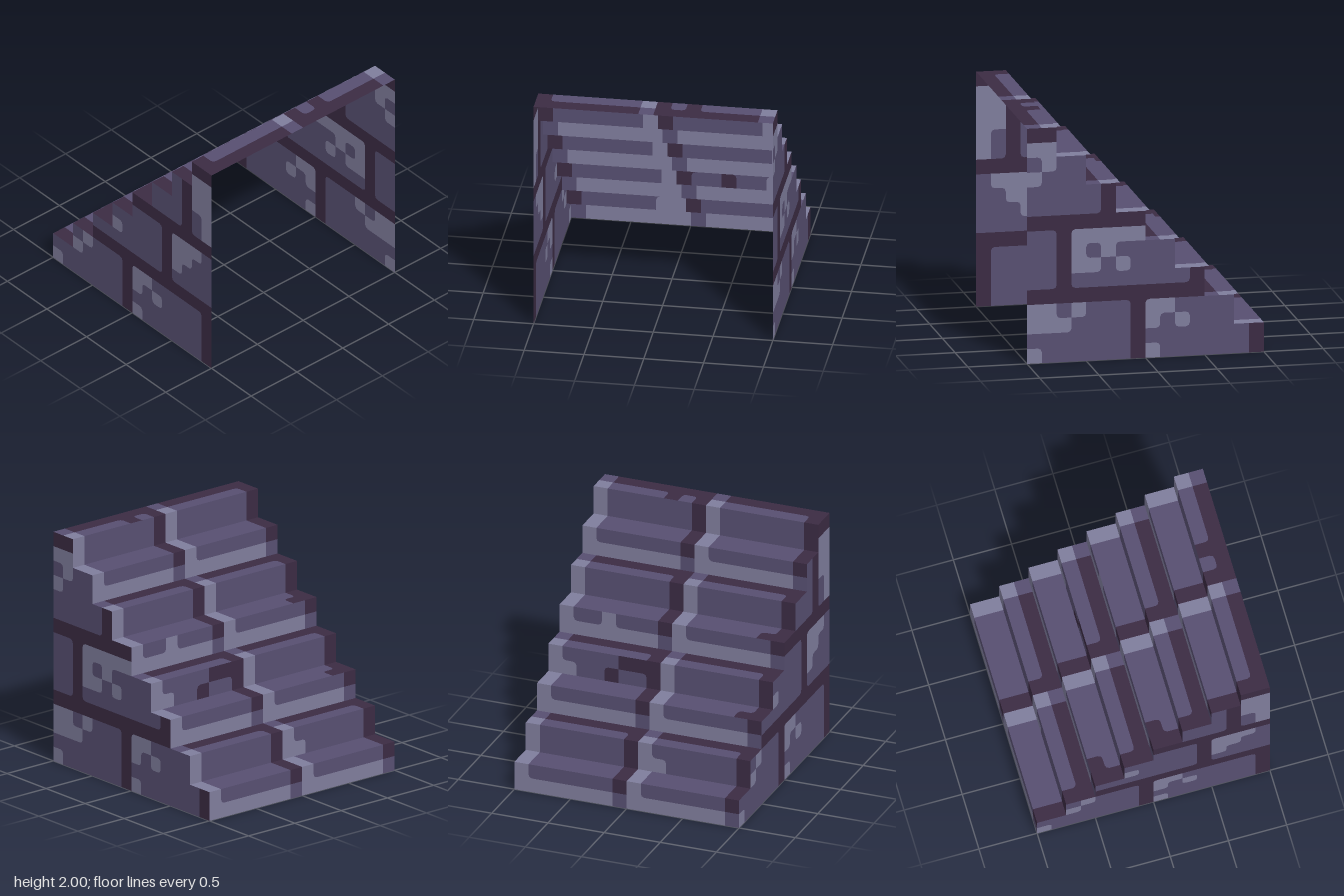
import * as THREE from 'three';

const CELL = 0.125; // size of one masonry square
const ROUND = 0.26; // corner rounding, as a share of a square
const MORTAR = 0, STONE = 1, WORN = 2;

function makeMaterials() {
  const make = (name, color) => {
    const m = new THREE.MeshStandardMaterial({ color, side: THREE.DoubleSide });
    m.name = name;
    return m;
  };
  return [make('darkMortar', 0x3b2b43), make('purpleStone', 0x574f71), make('paleStone', 0x7f7d9c)];
}

// Grid of stone squares; column c holds height(c) squares
function makeGrid(cols, height) {
  return Array.from({ length: cols }, (_, c) => new Array(height(c)).fill(STONE));
}

function paint(grid, color, c, r, w = 1, h = 1) {
  for (let i = c; i < c + w; i++) {
    for (let j = r; j < r + h; j++) {
      if (grid[i]?.[j] !== undefined) grid[i][j] = color;
    }
  }
}

// Turns a painted grid into one flat panel, rounding corners where colours meet
function makePanel(name, grid, place, materials) {
  const tris = [[], [], []];
  const fan = (color, pts) => {
    for (let i = 1; i < pts.length - 1; i++) {
      for (const p of [pts[0], pts[i], pts[i + 1]]) tris[color].push(...place(p[0] * CELL, p[1] * CELL));
    }
  };
  const corners = [[0, 0], [1, 0], [1, 1], [0, 1]];
  grid.forEach((column, c) => column.forEach((own, r) => {
    const outline = [];
    corners.forEach(([x, y], k) => {
      const sx = x * 2 - 1, sy = y * 2 - 1;
      const other = grid[c + sx]?.[r];
      const cut = other !== undefined && other !== own
        && column[r + sy] === other && grid[c + sx][r + sy] === other;
      const p = [c + x, r + y];
      if (!cut) {
        outline.push(p);
        return;
      }
      const toward = ([ax, ay]) => [p[0] + (ax - x) * ROUND, p[1] + (ay - y) * ROUND];
      const before = toward(corners[(k + 3) % 4]);
      const after = toward(corners[(k + 1) % 4]);
      const mid = [p[0] - sx * ROUND * 0.29, p[1] - sy * ROUND * 0.29];
      outline.push(before, mid, after);
      fan(other, [p, after, mid, before]);
    });
    fan(own, outline);
  }));

  const geometry = new THREE.BufferGeometry();
  geometry.setAttribute('position', new THREE.Float32BufferAttribute(tris.flat(), 3));
  let start = 0;
  tris.forEach((list, i) => {
    if (list.length) geometry.addGroup(start, list.length / 3, i);
    start += list.length / 3;
  });
  geometry.computeVertexNormals();
  const mesh = new THREE.Mesh(geometry, materials);
  mesh.name = name;
  return mesh;
}

// Brick pattern shared by both side walls, clipped to the stair outline
function makeWallGrid(height) {
  const grid = makeGrid(16, height);
  for (const row of [4, 9, 15]) paint(grid, MORTAR, 0, row, 16, 1);
  for (const [c, r, h] of [[7, 0, 4], [15, 0, 4], [2, 5, 4], [11, 5, 4], [5, 10, 5], [13, 10, 5]]) {
    paint(grid, MORTAR, c, r, 1, h);
  }
  // worn patches: column, row, width, height
  const worn = [
    [0, 0], [0, 2, 3], [0, 3, 2], [3, 3],
    [8, 0], [8, 2], [10, 2], [8, 3, 2],
    [3, 8, 5], [3, 7], [5, 7], [3, 6, 2], [6, 6],
    [12, 8, 3], [12, 7, 2], [12, 6],
    [0, 14, 2], [1, 13], [0, 12],
    [14, 12, 2, 3], [15, 10, 1, 2],
  ];
  for (const patch of worn) paint(grid, WORN, ...patch);
  return grid;
}

// Two-row strip of blocks; columns run from the model's left (+x)
function makeStrip() {
  const grid = makeGrid(16, () => 2);
  for (const c of [0, 8]) {
    paint(grid, WORN, c, 0, 1, 2);
    paint(grid, MORTAR, c + 7, 0, 1, 2);
  }
  return grid;
}

export function createModel() {
  const model = new THREE.Group();
  model.name = 'stoneStairs';
  const materials = makeMaterials();

  // Chips on single steps: colour, column, row, width
  const riserMarks = {
    1: [[WORN, 9, 0]],
    3: [[MORTAR, 5, 1, 3], [MORTAR, 4, 0], [WORN, 1, 0]],
    4: [[WORN, 3, 1]],
  };
  const treadMarks = { 2: [[MORTAR, 14, 0]], 4: [[MORTAR, 14, 0]], 7: [[MORTAR, 5, 0]] };

  for (let i = 0; i < 8; i++) {
    const y = i * 0.25, z = -1 + i * 0.25;
    const riser = makeStrip();
    const tread = makeStrip();
    for (const c of [0, 8]) {
      if (i % 2 === 0) { // pale joint along the foot of the riser
        paint(riser, WORN, c, 0, 7);
        paint(riser, STONE, c + 7, 0);
      } else { // dark joint along the inner edge of the tread
        paint(tread, STONE, c, 1);
        paint(tread, MORTAR, c + 1, 1, 7);
      }
    }
    for (const mark of riserMarks[i] ?? []) paint(riser, ...mark);
    for (const mark of treadMarks[i] ?? []) paint(tread, ...mark);
    model.add(
      makePanel(`riser${i + 1}`, riser, (u, v) => [1 - u, y + v, z], materials),
      makePanel(`tread${i + 1}`, tread, (u, v) => [1 - u, y + 0.25, z + v], materials),
    );
  }

  // Stepped side walls; the underside and tall end stay open
  const leftGrid = makeWallGrid((c) => 16 - 2 * Math.floor(c / 2));
  const rightGrid = makeWallGrid((c) => 2 + 2 * Math.floor(c / 2));
  model.add(
    makePanel('leftWall', leftGrid, (u, v) => [1, v, 1 - u], materials),
    makePanel('rightWall', rightGrid, (u, v) => [-1, v, u - 1], materials),
  );
  return model;
}
